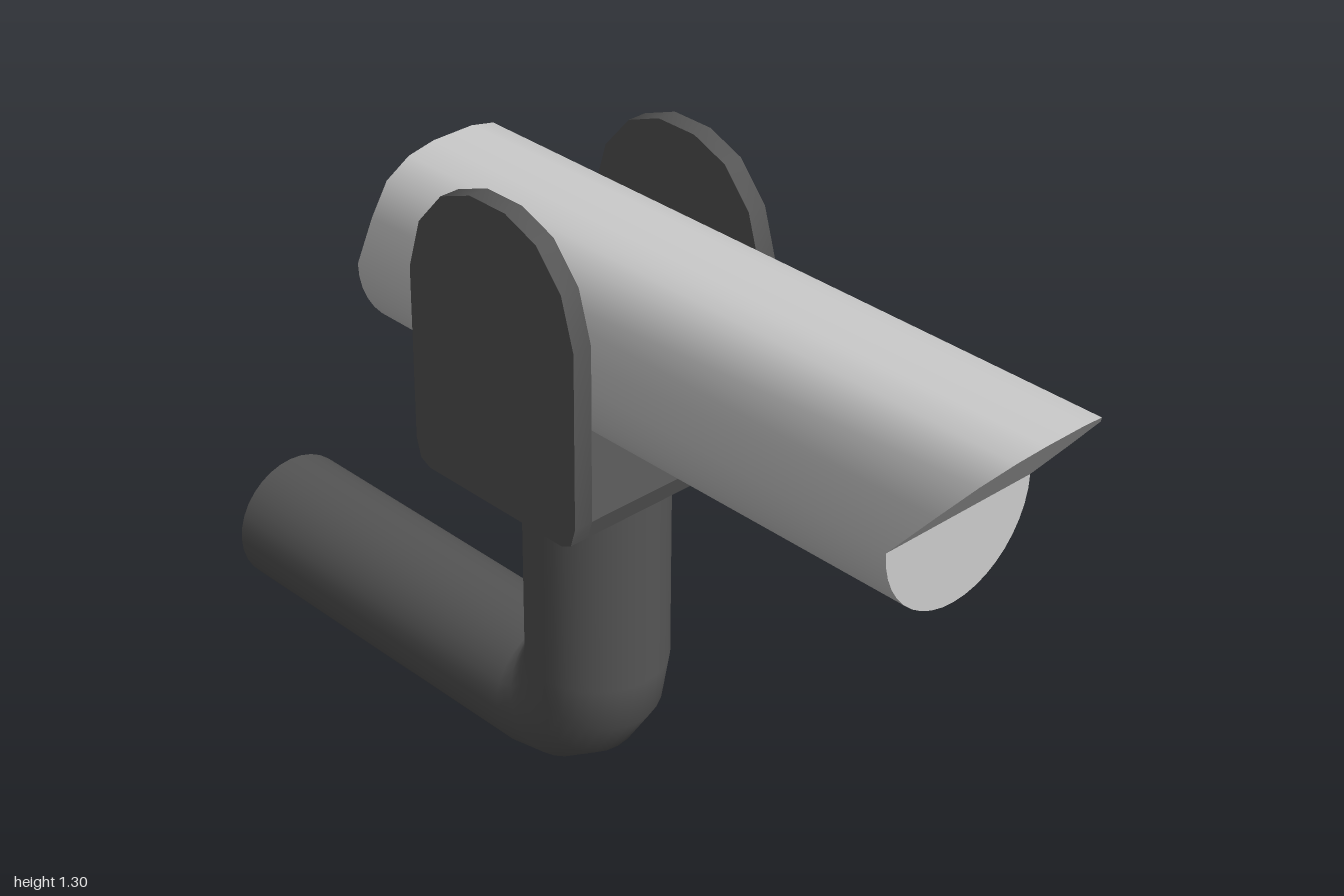
import * as THREE from 'three';
import { toCreasedNormals } from 'three/addons/utils/BufferGeometryUtils.js';

const light = new THREE.MeshStandardMaterial({ color: 0xcccccc });
const dark = new THREE.MeshStandardMaterial({ color: 0x555555 });

function addMesh(parent, name, geometry, material) {
  const mesh = new THREE.Mesh(geometry, material);
  mesh.name = name;
  parent.add(mesh);
  return mesh;
}

// Extrudes a (z, y) outline across the model from x0 to x1
function extrudeAcross(points, x0, x1) {
  const shape = new THREE.Shape(points.map(([z, y]) => new THREE.Vector2(z, y)));
  const g = new THREE.ExtrudeGeometry(shape, { depth: x1 - x0, bevelEnabled: false });
  g.rotateY(-Math.PI / 2).translate(x1, 0, 0);
  return toCreasedNormals(g, 0.7);
}

// Camera housing: rounded section with the ends slanted above the fold line
function housingGeometry() {
  const fold = 0.988, top = 1.222, radius = 0.173;
  const half = [];
  for (let i = 0; i <= 10; i++) {
    const a = (i / 10) * Math.PI / 2;
    half.push([radius * Math.sin(a), fold - radius * Math.cos(a)]);
  }
  half.push([0.161, 1.09], [0.143, 1.168], [0.1, 1.208], [0.045, top]);

  const pos = [];
  const point = (side, i, front) => {
    const [x, y] = half[i];
    const t = Math.max(0, (y - fold) / (top - fold));
    return [side * x, y, front ? 0.8 + 0.2 * t : -0.515 + 0.075 * t];
  };
  const quad = (a, b, c, d) => pos.push(...a, ...b, ...c, ...a, ...c, ...d);
  const last = half.length - 1;
  for (let i = 0; i < last; i++) {
    const j = i + 1;
    quad(point(1, i, true), point(1, i, false), point(1, j, false), point(1, j, true));
    quad(point(-1, i, false), point(-1, i, true), point(-1, j, true), point(-1, j, false));
    quad(point(-1, i, true), point(1, i, true), point(1, j, true), point(-1, j, true));
    quad(point(1, i, false), point(-1, i, false), point(-1, j, false), point(1, j, false));
  }
  quad(point(-1, last, true), point(1, last, true), point(1, last, false), point(-1, last, false));

  const g = new THREE.BufferGeometry();
  g.setAttribute('position', new THREE.Float32BufferAttribute(pos, 3));
  return toCreasedNormals(g, 0.6);
}

export function createModel() {
  const model = new THREE.Group();
  model.name = 'securityCamera';
  addMesh(model, 'housing', housingGeometry(), light);

  // U-shaped bracket: two arched cheeks joined by a base plate
  const bracket = new THREE.Group();
  bracket.name = 'bracket';
  model.add(bracket);
  const mid = -0.067;
  const bottom = [[0.178, 0.7], [0.202, 0.712], [0.213, 0.75]];
  const arch = [[0.213, 1.1], [0.183, 1.2], [0.122, 1.27], [0.045, 1.3]];
  const mirrored = (half) => [
    ...half.map(([z, y]) => [mid + z, y]),
    ...half.slice().reverse().map(([z, y]) => [mid - z, y]),
  ];
  const cheek = mirrored([...bottom, ...arch]);
  addMesh(bracket, 'leftCheek', extrudeAcross(cheek, 0.2, 0.24), dark);
  addMesh(bracket, 'rightCheek', extrudeAcross(cheek, -0.24, -0.2), dark);
  addMesh(bracket, 'basePlate', extrudeAcross(mirrored(bottom), -0.2, 0.2), dark);

  // Pipe arm: upright, tight elbow and a horizontal run to the rear
  const arm = new THREE.Group();
  arm.name = 'arm';
  model.add(arm);
  const r = 0.138, axisZ = -0.06, innerZ = axisZ - r, bendY = 2 * r;
  const upright = new THREE.CylinderGeometry(r, r, 0.7 - bendY, 32);
  upright.translate(0, (0.7 + bendY) / 2, axisZ);
  addMesh(arm, 'upright', upright, dark);

  const elbow = new THREE.TorusGeometry(r, r, 32, 4, Math.PI / 2);
  elbow.rotateZ(-Math.PI / 2).rotateY(-Math.PI / 2).translate(0, bendY, innerZ);
  addMesh(arm, 'elbow', elbow, dark);

  const run = new THREE.CylinderGeometry(r, r, 1 + innerZ, 32);
  run.rotateX(Math.PI / 2).translate(0, r, (innerZ - 1) / 2);
  addMesh(arm, 'rearRun', run, dark);

  return model;
}
